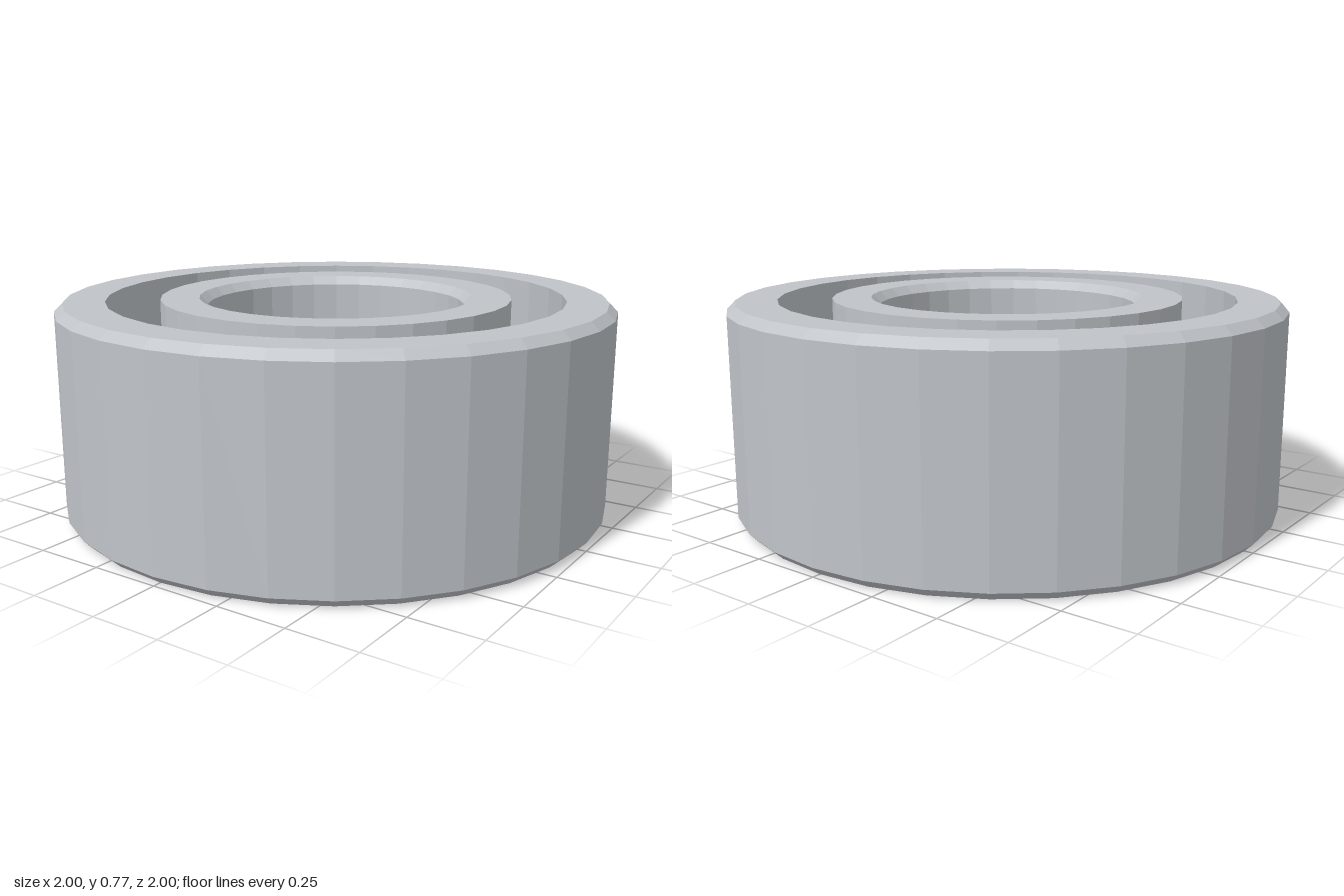
import * as THREE from 'three';

const HEIGHT = 0.77, MID = HEIGHT / 2, BEVEL = 0.03;
const PITCH = 0.728, BALL_R = 0.15, GROOVE_R = 0.155;
const SIDES = 32, BALLS = 11;

// Arc of the ball groove cut into a race wall of radius r, from startSign * h to -startSign * h
function groove(r, startSign) {
  const depth = r - PITCH;
  const half = Math.acos(Math.abs(depth) / GROOVE_R);
  const points = [];
  for (let i = 0; i <= 8; i++) {
    const a = startSign * half * (1 - i / 4);
    points.push([PITCH + Math.sign(depth) * GROOVE_R * Math.cos(a), MID + GROOVE_R * Math.sin(a)]);
  }
  return points;
}

// Closed counterclockwise profile turned into a faceted ring
function ring(name, profile, material) {
  const points = [...profile, profile[0]].map(([x, y]) => new THREE.Vector2(x, y));
  const mesh = new THREE.Mesh(new THREE.LatheGeometry(points, SIDES), material);
  mesh.name = name;
  return mesh;
}

export function createModel() {
  const model = new THREE.Group();
  model.name = 'ballBearing';
  const steel = new THREE.MeshStandardMaterial({ color: 0xc0c4c9, flatShading: true });
  steel.name = 'steel';

  // Outer race: bevelled outside, grooved inside
  const outerWall = 0.825;
  model.add(ring('outerRace', [
    [1 - BEVEL, 0], [1, BEVEL], [1, HEIGHT - BEVEL], [1 - BEVEL, HEIGHT],
    [outerWall, HEIGHT], ...groove(outerWall, 1), [outerWall, 0],
  ], steel));

  // Inner race: grooved outside, bevelled bore
  const innerWall = 0.633, bore = 0.465;
  model.add(ring('innerRace', [
    [innerWall, 0], ...groove(innerWall, -1), [innerWall, HEIGHT],
    [bore + BEVEL, HEIGHT], [bore, HEIGHT - BEVEL], [bore, BEVEL], [bore + BEVEL, 0],
  ], steel));

  // Balls evenly spaced between the races
  const balls = new THREE.Group();
  balls.name = 'balls';
  const ballGeometry = new THREE.IcosahedronGeometry(BALL_R, 3);
  for (let i = 0; i < BALLS; i++) {
    const a = (i / BALLS) * Math.PI * 2;
    const ball = new THREE.Mesh(ballGeometry, steel);
    ball.name = 'ball';
    ball.position.set(PITCH * Math.cos(a), MID, PITCH * Math.sin(a));
    ball.rotation.y = -a;
    balls.add(ball);
  }
  model.add(balls);
  return model;
}
